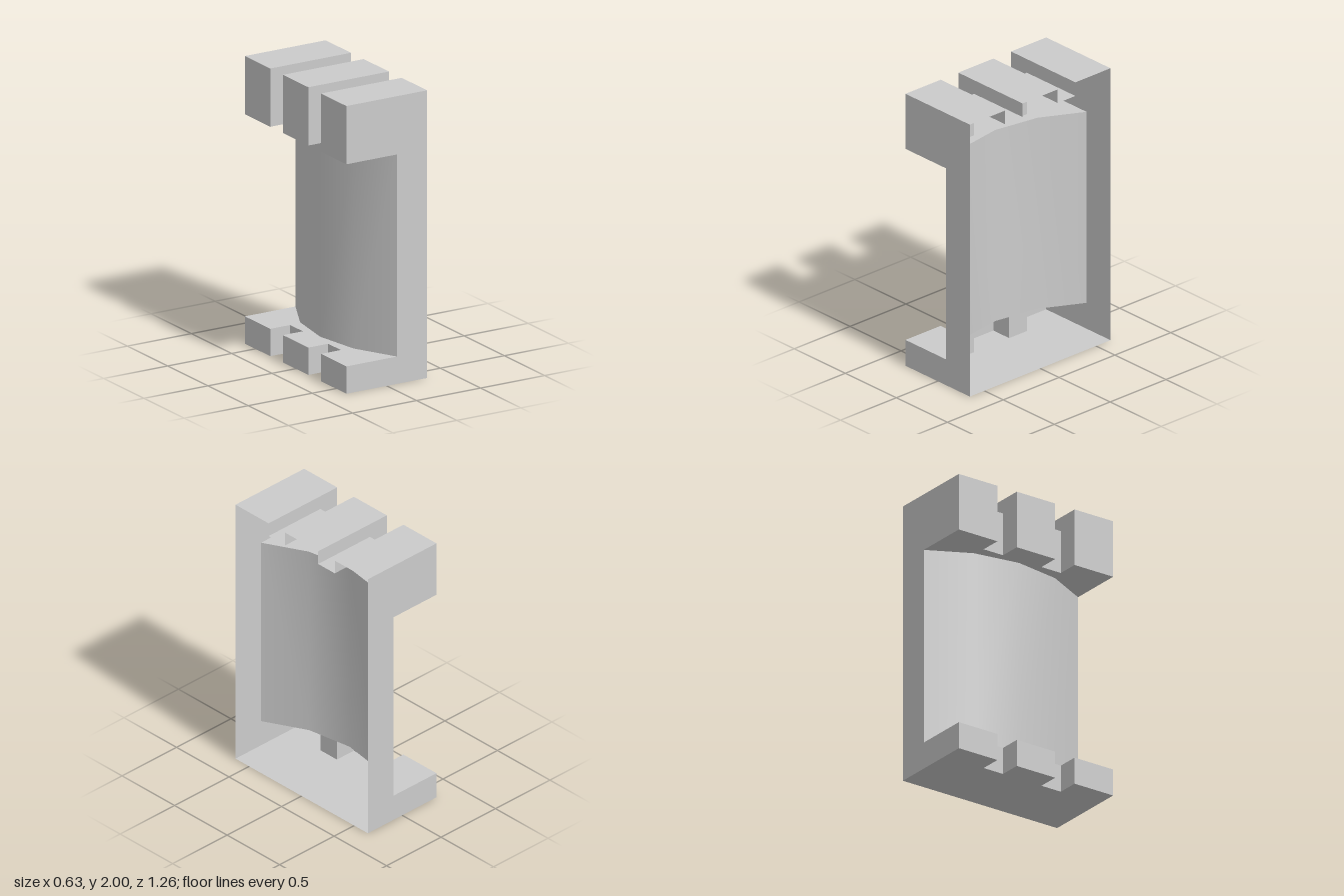
import * as THREE from 'three';

const X = 0.315, Z = 0.63;            // half width and half depth
const SLOT_X = -0.16;                 // slot bottom
const Z1 = 0.157, Z2 = 0.315;         // slot sides
const Y1 = 0.19, Y2 = 1.595, Y3 = 1.9, Y4 = 2; // ledge, overhang, channel floor, top
const WEB_END = 0.08, WEB_MID = -0.125;

const material = new THREE.MeshStandardMaterial({ color: 0xcccccc, side: THREE.DoubleSide });

// Upright wall following an [x, z] path; its face looks to the -x side of a path running along +z
function wall(path, y0, y1, smooth = false) {
  const pos = [], index = [];
  path.forEach(([x, z], i) => {
    pos.push(x, y0, z, x, y1, z);
    if (i) {
      const a = 2 * i - 2, b = 2 * i;
      index.push(a, b, b + 1, a, b + 1, a + 1);
    }
  });
  let g = new THREE.BufferGeometry();
  g.setAttribute('position', new THREE.Float32BufferAttribute(pos, 3));
  g.setIndex(index);
  if (!smooth) g = g.toNonIndexed();
  g.computeVertexNormals();
  return g;
}

// Horizontal plate from an [x, z] outline, facing up or down
function plate(outline, y, up) {
  const s = up ? -1 : 1;
  const shape = new THREE.Shape(outline.map(([x, z]) => new THREE.Vector2(x, s * z)));
  return new THREE.ShapeGeometry(shape).rotateX(s * Math.PI / 2).translate(0, y, 0);
}

const rect = (x0, x1, z0, z1) => [[x0, z0], [x1, z0], [x1, z1], [x0, z1]];

export function createModel() {
  const group = new THREE.Group();
  const add = (name, geometry) => {
    const mesh = new THREE.Mesh(geometry, material);
    mesh.name = name;
    group.add(mesh);
  };

  // Slotted edge, from back to front
  const comb = [
    [-X, -Z], [-X, -Z2], [SLOT_X, -Z2], [SLOT_X, -Z1], [-X, -Z1],
    [-X, Z1], [SLOT_X, Z1], [SLOT_X, Z2], [-X, Z2], [-X, Z],
  ];

  // Shallow arc of the web, from back to front
  const sag = WEB_END - WEB_MID;
  const radius = (Z * Z + sag * sag) / (2 * sag);
  const half = Math.asin(Z / radius);
  const arc = [], segments = 4;
  for (let i = 0; i <= segments; i++) {
    const a = half * (2 * i / segments - 1);
    arc.push([WEB_MID + radius * (1 - Math.cos(a)), radius * Math.sin(a)]);
  }
  add('curvedWeb', wall(arc, Y1, Y2, true));

  // C-shaped end walls
  const profile = new THREE.Shape([
    [X, 0], [X, Y4], [-X, Y4], [-X, Y2], [WEB_END, Y2], [WEB_END, Y1], [-X, Y1], [-X, 0],
  ].map(([x, y]) => new THREE.Vector2(x, y)));
  add('frontEndWall', new THREE.ShapeGeometry(profile).translate(0, 0, Z));
  const back = new THREE.ShapeGeometry(profile).translate(0, 0, Z);
  back.rotateY(Math.PI).scale(-1, 1, 1);
  // Mirroring turns the corners round, so swap them back
  const idx = back.index.array;
  for (let i = 0; i < idx.length; i += 3) [idx[i], idx[i + 1]] = [idx[i + 1], idx[i]];
  back.computeVertexNormals();
  add('backEndWall', back);

  // Bottom flange: floor, slotted edge and ledge; the +x side is open
  const ledge = [...comb, ...arc.slice().reverse()];
  add('floor', plate([...comb, [X, Z], [X, -Z]], 0, false));
  add('lowerSlottedEdge', wall(comb, 0, Y1));
  add('lowerLedge', plate(ledge, Y1, true));

  // Top flange
  add('overhangUnderside', plate(ledge, Y2, false));
  add('upperSlottedEdge', wall(comb, Y2, Y3));

  // Three raised top blocks
  for (const [name, z0, z1] of [['back', -Z, -Z2], ['middle', -Z1, Z1], ['front', Z2, Z]]) {
    const path = [[-X, z0], [-X, z1]];
    if (z0 > -Z) path.unshift([X, z0]);
    if (z1 < Z) path.push([X, z1]);
    add(name + 'BlockSides', wall(path, Y3, Y4));
    add(name + 'BlockTop', plate(rect(-X, X, z0, z1), Y4, true));
  }

  // Channels between the blocks
  for (const [z0, z1] of [[-Z2, -Z1], [Z1, Z2]]) {
    add('channelFloor', plate(rect(SLOT_X, X, z0, z1), Y3, true));
  }
  return group;
}
